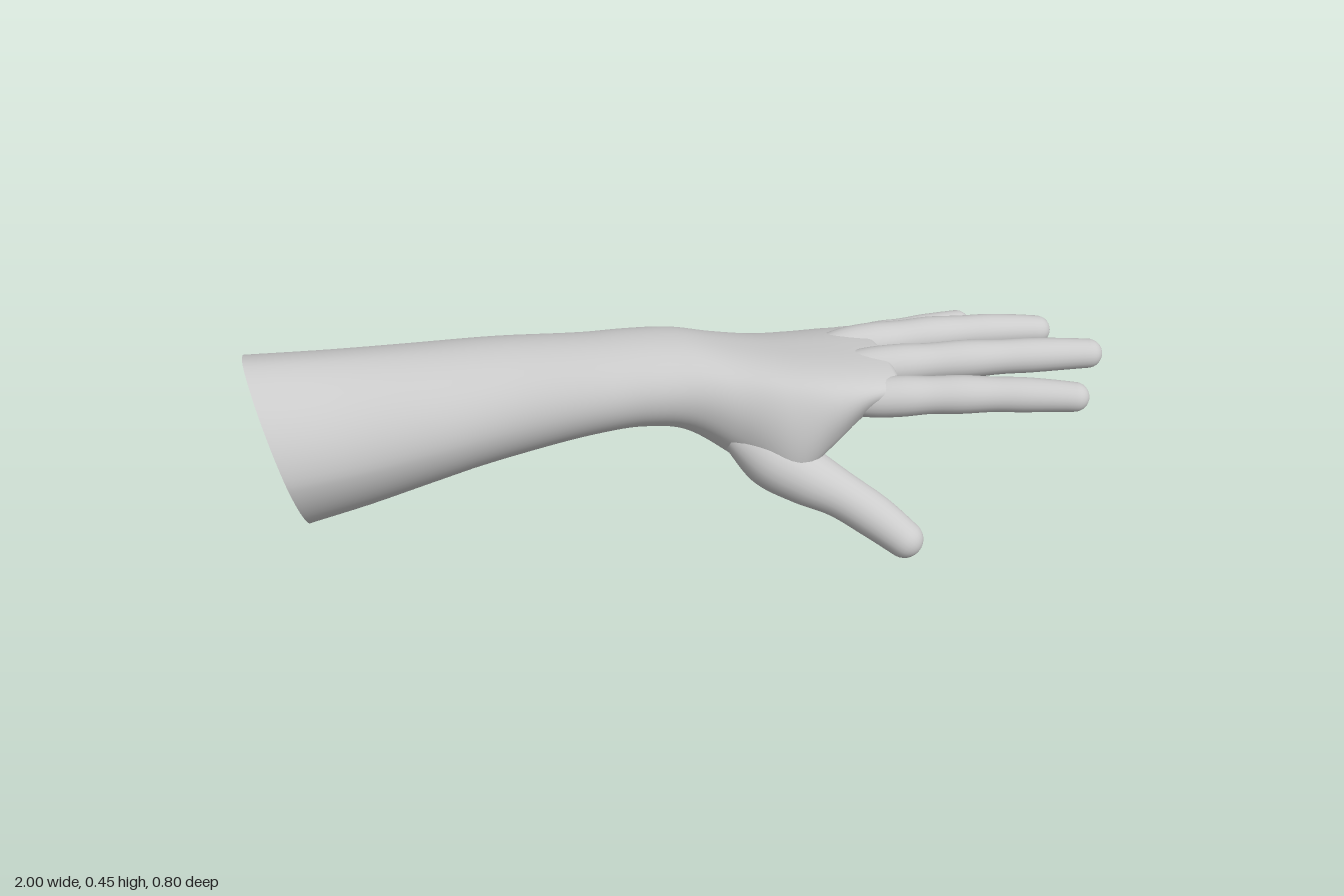
import * as THREE from 'three';

const skin = new THREE.MeshStandardMaterial({ color: 0xcccccc, roughness: 0.8 });

// Smooth curve through rows of [position, ...values]
function spline(rows) {
  const size = rows[0].length - 1;
  const curve = new THREE.CubicInterpolant(
    new Float32Array(rows.map((r) => r[0])),
    new Float32Array(rows.flatMap((r) => r.slice(1))), size);
  return (t) => Array.from(curve.evaluate(t));
}

// Skin a list of closed rings (all with the same point count)
function loft(name, rings) {
  const n = rings[0].length;
  const pos = rings.flat().flatMap((p) => [p.x, p.y, p.z]);
  const index = [];
  for (let i = 0; i < rings.length - 1; i++) {
    for (let j = 0; j < n; j++) {
      const a = i * n + j, b = i * n + (j + 1) % n;
      index.push(a, a + n, b, b, a + n, b + n);
    }
  }
  const geo = new THREE.BufferGeometry();
  geo.setAttribute('position', new THREE.Float32BufferAttribute(pos, 3));
  geo.setIndex(index);
  geo.computeVertexNormals();
  const mesh = new THREE.Mesh(geo, skin);
  mesh.name = name;
  return mesh;
}

// Tapered round digit; rows are [t, x, y, z, radius], ending in a dome
function digit(name, rows, sides = 24, steps = 36) {
  const at = spline(rows);
  const centre = (t) => new THREE.Vector3(...at(t).slice(0, 3));
  const rings = [];
  const addRing = (c, dir, r) => {
    const side = dir.clone().cross(new THREE.Vector3(0, 1, 0)).normalize();
    const up = side.clone().cross(dir);
    rings.push(Array.from({ length: sides }, (_, j) => {
      const a = (j / sides) * Math.PI * 2;
      return c.clone().addScaledVector(side, r * Math.cos(a)).addScaledVector(up, r * Math.sin(a));
    }));
  };
  let dir;
  for (let i = 0; i <= steps; i++) {
    const t = i / steps;
    dir = centre(Math.min(1, t + 0.01)).sub(centre(Math.max(0, t - 0.01))).normalize();
    addRing(centre(t), dir, at(t)[3]);
  }
  const r = at(1)[3];
  for (let k = 1; k <= 8; k++) {
    const a = (k / 8) * Math.PI / 2;
    addRing(centre(1).addScaledVector(dir, r * Math.sin(a)), dir, r * Math.cos(a));
  }
  return loft(name, rings);
}

// Finger from knuckle, through the middle joint, to the fingertip
function finger(name, knuckle, middle, tip, scale) {
  const curve = new THREE.QuadraticBezierCurve3(
    new THREE.Vector3(...knuckle),
    new THREE.Vector3(...middle).multiplyScalar(2)
      .sub(new THREE.Vector3(...knuckle).add(new THREE.Vector3(...tip)).multiplyScalar(0.5)),
    new THREE.Vector3(...tip));
  const radii = [[0, 0.022], [0.16, 0.043], [0.28, 0.046], [0.4, 0.042], [0.52, 0.043],
    [0.66, 0.039], [0.77, 0.039], [0.9, 0.036], [1, 0.033]];
  return digit(name, radii.map(([t, r]) => [t, ...curve.getPoint(t).toArray(), r * scale]));
}

// Forearm, wrist and palm: [x, top, bottom, zMin, zMax, slant, squareness, thumb pad]
const armRows = [
  [-1, 0.446, 0.004, -0.402, 0.018, 0.02, 1.12, 0],
  [-0.8, 0.437, 0.045, -0.375, 0.024, 0.03, 1.1, 0],
  [-0.6, 0.438, 0.1, -0.335, 0.035, 0.05, 1.06, 0],
  [-0.4, 0.445, 0.162, -0.278, 0.047, 0.05, 1.02, 0],
  [-0.2, 0.453, 0.225, -0.207, 0.08, 0.04, 1, 0],
  [-0.1, 0.456, 0.241, -0.185, 0.097, 0.03, 0.97, 0],
  [0, 0.452, 0.236, -0.18, 0.122, 0.08, 0.95, 0.01],
  [0.1, 0.436, 0.205, -0.192, 0.165, 0.25, 0.92, 0.055],
  [0.2, 0.427, 0.19, -0.2, 0.21, 0.4, 0.9, 0.125],
  [0.3, 0.422, 0.202, -0.198, 0.236, 0.48, 0.88, 0.055],
  [0.4, 0.412, 0.238, -0.19, 0.238, 0.55, 0.88, 0],
  [0.46, 0.4, 0.268, -0.172, 0.225, 0.58, 0.9, 0],
];

function armRings(sides = 64, steps = 90) {
  const at = spline(armRows);
  const bend = (v, p) => Math.sign(v) * Math.abs(v) ** p;
  const ring = (s, shrink, x) => {
    const [top, bottom, z0, z1, slant, sq, pad] = at(s);
    const cy = (top + bottom) / 2, cz = (z0 + z1) / 2;
    const cut = THREE.MathUtils.clamp((-0.5 - s) / 0.5, 0, 1);
    return Array.from({ length: sides }, (_, j) => {
      const a = (j / sides) * Math.PI * 2;
      // the fleshy thumb pad swells down and outwards
      const swell = pad * Math.max(0, Math.cos(a + 0.9)) ** 2;
      const y = cy + shrink * (top - bottom) / 2 * bend(Math.sin(a + slant), sq) - 0.9 * swell;
      const z = cz + shrink * (z1 - z0) / 2 * bend(Math.cos(a), sq) + 0.45 * swell;
      // the elbow end is cut at a slant
      return new THREE.Vector3(x + cut * (0.286 * (0.442 - y) - 0.044 * (z + 0.08)), y, z);
    });
  };
  const rings = [];
  for (let i = 0; i <= steps; i++) {
    const s = -1 + 1.46 * i / steps;
    rings.push(ring(s, 1, s));
  }
  // rounded end of the palm between the fingers
  for (let k = 1; k <= 8; k++) {
    const a = (k / 8) * Math.PI / 2;
    rings.push(ring(0.46, Math.cos(a), 0.46 + 0.035 * Math.sin(a)));
  }
  return rings;
}

export function createModel() {
  const model = new THREE.Group();
  model.name = 'forearmAndHand';

  const rings = armRings();
  model.add(loft('forearmAndPalm', rings));

  // flat cut face at the elbow end
  const rim = rings[0];
  const mid = rim.reduce((sum, p) => sum.add(p), new THREE.Vector3()).divideScalar(rim.length);
  model.add(loft('cutEnd', [rim.map(() => mid), rim]));

  const fingers = new THREE.Group();
  fingers.name = 'fingers';
  fingers.add(
    finger('indexFinger', [0.3, 0.345, 0.168], [0.6, 0.352, 0.235], [0.868, 0.345, 0.309], 1.06),
    finger('middleFinger', [0.3, 0.36, 0.07], [0.65, 0.364, 0.11], [0.966, 0.353, 0.15], 1.06),
    finger('ringFinger', [0.3, 0.35, -0.03], [0.62, 0.345, -0.042], [0.912, 0.316, -0.04], 1.05),
    finger('littleFinger', [0.3, 0.302, -0.115], [0.54, 0.285, -0.152], [0.769, 0.261, -0.205], 0.98),
  );
  model.add(fingers);

  // thumb growing out of its pad
  model.add(digit('thumb', [
    [0, 0.1, 0.255, 0.12, 0.04],
    [0.2, 0.17, 0.212, 0.165, 0.072],
    [0.4, 0.245, 0.17, 0.208, 0.069],
    [0.6, 0.318, 0.134, 0.254, 0.056],
    [0.82, 0.39, 0.09, 0.306, 0.052],
    [1, 0.447, 0.048, 0.352, 0.045],
  ]));

  return model;
}
